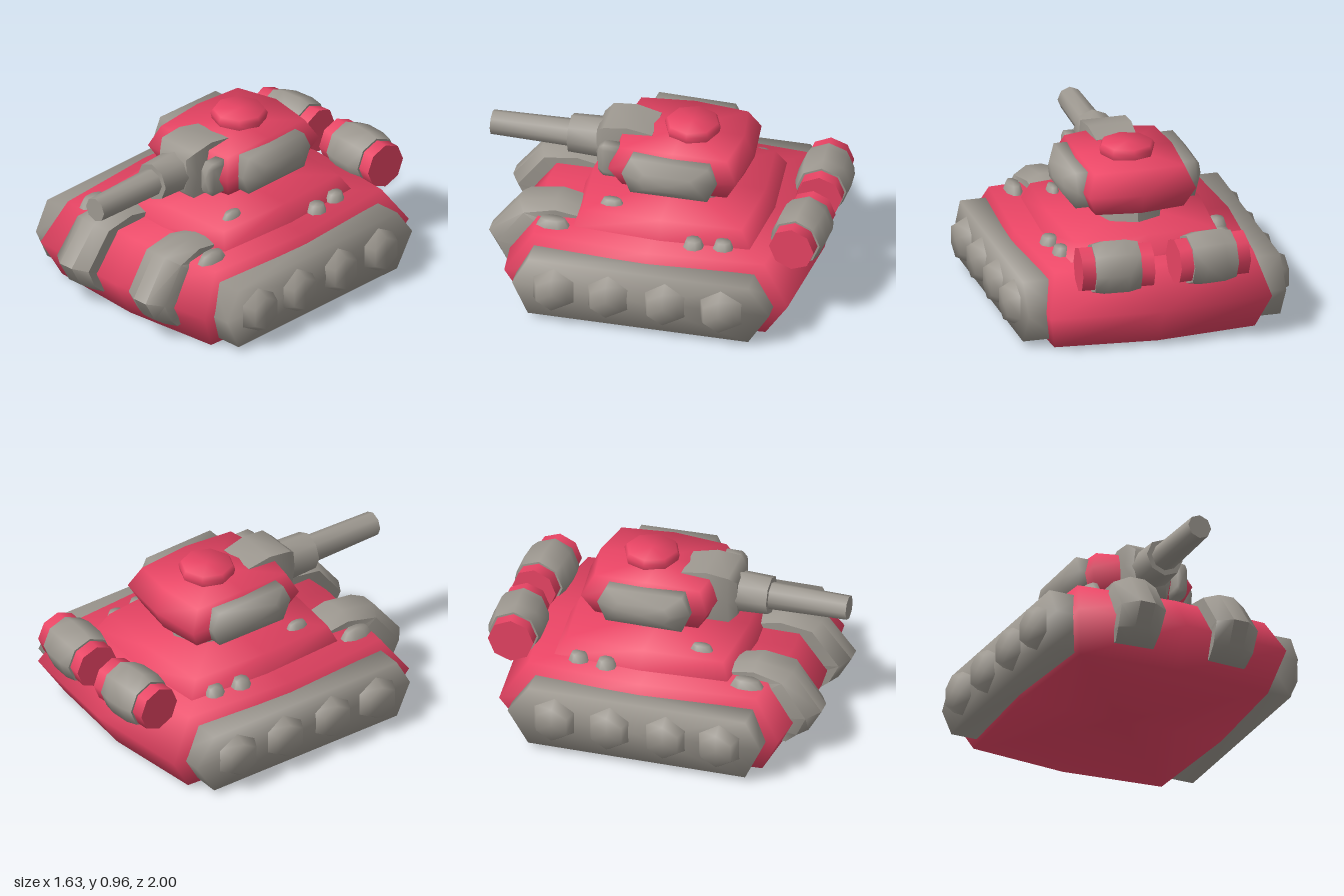
import * as THREE from 'three';
import { toCreasedNormals } from 'three/addons/utils/BufferGeometryUtils.js';

const RED = new THREE.MeshStandardMaterial({ color: 0xe84464 });
const GREY = new THREE.MeshStandardMaterial({ color: 0x9d9890 });

// Skin closed rings (counter-clockwise seen from the far end) and cap both ends with fans.
// "crown" pushes the centre of the last cap outwards.
function loft(rings, crown = [0, 0, 0]) {
  const pos = [];
  const n = rings[0].length;
  const tri = (a, b, c) => pos.push(...a, ...b, ...c);
  const mid = (ring) => [0, 1, 2].map((k) => ring.reduce((s, p) => s + p[k], 0) / n);
  const first = rings[0], last = rings[rings.length - 1];
  const c0 = mid(first), c1 = mid(last).map((v, k) => v + crown[k]);
  for (let i = 0; i < n; i++) {
    const j = (i + 1) % n;
    tri(c0, first[j], first[i]);
    tri(c1, last[i], last[j]);
    for (let r = 0; r + 1 < rings.length; r++) {
      const a = rings[r], b = rings[r + 1];
      tri(a[i], a[j], b[j]);
      tri(a[i], b[j], b[i]);
    }
  }
  const geo = new THREE.BufferGeometry();
  geo.setAttribute('position', new THREE.Float32BufferAttribute(pos, 3));
  return geo;
}

// Horizontal eight-point outline: corners at xc, bowed mid points on all four sides
function plan(y, xc, xm, zf, zfm, zb, zbm, rise = 0) {
  const zm = (zf + zb) / 2, h = y + rise;
  return [[xc, y, zf], [xm, h, zm], [xc, y, zb], [0, h, zbm],
    [-xc, y, zb], [-xm, h, zm], [-xc, y, zf], [0, h, zfm]];
}

// Side outline of [z, y] points placed at x and scaled about its own centre
function sideRing(x, pts, sz = 1, sy = 1) {
  const cz = pts.reduce((s, p) => s + p[0], 0) / pts.length;
  const cy = pts.reduce((s, p) => s + p[1], 0) / pts.length;
  return pts.map(([z, y]) => [x, cy + (y - cy) * sy, cz + (z - cz) * sz]);
}

function mirrored(geo) {
  const g = geo.index ? geo.toNonIndexed() : geo.clone();
  const p = g.attributes.position;
  for (let i = 0; i < p.count; i += 3) {
    for (let k = 0; k < 3; k++) {
      const v = p.getComponent(i + 1, k);
      p.setComponent(i + 1, k, p.getComponent(i + 2, k));
      p.setComponent(i + 2, k, v);
    }
  }
  return g.scale(-1, 1, 1);
}

export function createModel() {
  const model = new THREE.Group();
  model.name = 'tank';

  // Most parts are shaded smoothly across their edges
  function add(name, geo, mat, crease = 1.7) {
    const mesh = new THREE.Mesh(toCreasedNormals(geo, crease), mat);
    mesh.name = name;
    model.add(mesh);
  }
  function addPair(name, geo, mat, crease) {
    add(name + 'Left', geo, mat, crease);
    add(name + 'Right', mirrored(geo), mat, crease);
  }

  // Hull and raised deck
  add('hull', loft([
    plan(0, 0.58, 0.62, 0.67, 0.72, -0.7, -0.76),
    plan(0.225, 0.64, 0.67, 0.78, 0.84, -0.84, -0.9),
    plan(0.445, 0.575, 0.62, 0.63, 0.68, -0.69, -0.75),
  ]), RED);
  add('deck', loft([
    plan(0.44, 0.45, 0.48, 0.43, 0.47, -0.58, -0.62),
    plan(0.54, 0.405, 0.44, 0.39, 0.42, -0.52, -0.56, 0.015),
  ], [0, 0.015, 0]), RED);

  // Track housings with domed wheel hubs
  const trackSide = [[0.71, 0.22], [0.62, 0.03], [-0.64, 0.03],
    [-0.76, 0.22], [-0.64, 0.385], [0.62, 0.385]];
  addPair('track', loft([sideRing(0.54, trackSide), sideRing(0.745, trackSide)], [0.02, 0, 0]), GREY);
  [0.47, 0.16, -0.165, -0.485].forEach((z, i) => {
    const hub = new THREE.CylinderGeometry(0.1, 0.142, 0.08, 6)
      .rotateY(Math.PI / 2).rotateZ(-Math.PI / 2).translate(0.775, 0.213, z);
    addPair('wheelHub' + (i + 1), hub, GREY);
  });

  // Curved front guards: stations of [z, y, inner z, inner y, centre x, half width]
  const guard = [
    [0.78, 0.08, 0.68, 0.09, 0.285, 0.115], [0.865, 0.14, 0.7, 0.16, 0.29, 0.125],
    [0.94, 0.27, 0.7, 0.24, 0.288, 0.132], [0.77, 0.49, 0.62, 0.38, 0.275, 0.128],
    [0.56, 0.52, 0.54, 0.4, 0.262, 0.115], [0.41, 0.48, 0.42, 0.4, 0.258, 0.108],
  ].map(([z, y, iz, iy, x, w]) => {
    const edge = (side, t) => [x + side * w, y + (iy - y) * t, z + (iz - z) * t];
    return [edge(-1, 0.2), [x - w * 0.35, y, z], [x + w * 0.35, y, z],
      edge(1, 0.28), edge(1, 1), edge(-1, 1)];
  });
  addPair('frontGuard', loft(guard), GREY, 1.1);

  // Rear drums: red cores in bulging grey sleeves, slightly toed
  const drumPlace = (g) => g.rotateZ(-Math.PI / 2).rotateY(-0.07).translate(0.272, 0.503, -0.837);
  addPair('drumCore', drumPlace(new THREE.CylinderGeometry(0.13, 0.13, 0.41, 8)), RED, 0.85);
  const sleeve = [[0, -0.13], [0.142, -0.13], [0.158, -0.06], [0.158, 0.06], [0.142, 0.13], [0, 0.13]]
    .map(([r, y]) => new THREE.Vector2(r, y));
  addPair('drumSleeve', drumPlace(new THREE.LatheGeometry(sleeve, 8).rotateY(Math.PI / 2)), GREY, 0.85);

  // Small studs on hull and deck: x, base y, z, half width, half length, height
  [[0.465, 0.43, -0.43, 0.05, 0.06, 0.06], [0.485, 0.43, -0.265, 0.055, 0.06, 0.06],
    [0.46, 0.43, 0.545, 0.05, 0.1, 0.06], [0.32, 0.53, 0.24, 0.036, 0.07, 0.048],
  ].forEach(([x, y, z, w, l, h], i) => {
    const stud = new THREE.CylinderGeometry(0.72, 1.08, 1, 8).rotateY(Math.PI / 8)
      .scale(w, h, l).translate(x, y + h / 2, z);
    addPair('stud' + (i + 1), stud, GREY);
  });

  // Turret on its neck, with a hatch on top
  add('turretNeck', new THREE.CylinderGeometry(0.19, 0.205, 0.12, 8)
    .scale(1, 1, 1.2).translate(0, 0.6, -0.13), GREY, 0.85);
  add('turret', loft([
    plan(0.64, 0.255, 0.27, 0.2, 0.235, -0.4, -0.44),
    plan(0.765, 0.308, 0.33, 0.265, 0.29, -0.465, -0.5),
    plan(0.882, 0.26, 0.275, 0.21, 0.245, -0.4, -0.44, 0.014),
  ], [0, 0.012, 0]), RED);
  const hatch = [[0, 0.86], [0.145, 0.86], [0.16, 0.93], [0.145, 0.954], [0, 0.957]]
    .map(([r, y]) => new THREE.Vector2(r, y));
  add('hatch', new THREE.LatheGeometry(hatch, 8).translate(0, 0, -0.145), RED);

  // Armour pods on the turret sides
  const podSide = [[0.18, 0.77], [0.13, 0.655], [-0.31, 0.655],
    [-0.36, 0.765], [-0.31, 0.865], [0.13, 0.875]];
  addPair('turretPod', loft([
    sideRing(0.24, podSide), sideRing(0.345, podSide), sideRing(0.395, podSide, 0.6, 0.45),
  ], [0.02, 0, 0]), GREY);

  // Gun mantlet, stepped barrel and the sight beside it
  const mantlet = [[0.06, 0.13, 0.63, 0.895], [0.2, 0.14, 0.615, 0.925],
    [0.335, 0.145, 0.62, 0.91], [0.38, 0.11, 0.66, 0.87]].map(([z, w, y0, y1]) => {
    const ym = (y0 + y1) / 2;
    return [[-w * 0.8, y0, z], [w * 0.8, y0, z], [w, ym, z],
      [w * 0.9, y1, z], [-w * 0.9, y1, z], [-w, ym, z]];
  });
  add('mantlet', loft(mantlet), GREY, 0.9);
  const tube = (r1, r0, z0, z1) => new THREE.CylinderGeometry(r1, r0, z1 - z0, 8)
    .rotateX(Math.PI / 2).translate(0, 0.765, (z0 + z1) / 2);
  add('barrelSleeve', tube(0.11, 0.12, 0.3, 0.55), GREY, 0.85);
  add('barrel', tube(0.07, 0.08, 0.5, 1), GREY, 0.85);
  const sight = [[0.22, 0.04, 0.1], [0.31, 0.04, 0.1], [0.34, 0.028, 0.075]].map(([z, w, h]) =>
    [[-0.7, -1], [0.7, -1], [1, -0.7], [1, 0.7], [0.7, 1], [-0.7, 1], [-1, 0.7], [-1, -0.7]]
      .map(([u, v]) => [0.21 + u * w, 0.77 + v * h, z]));
  add('sight', loft(sight), GREY);

  return model;
}
